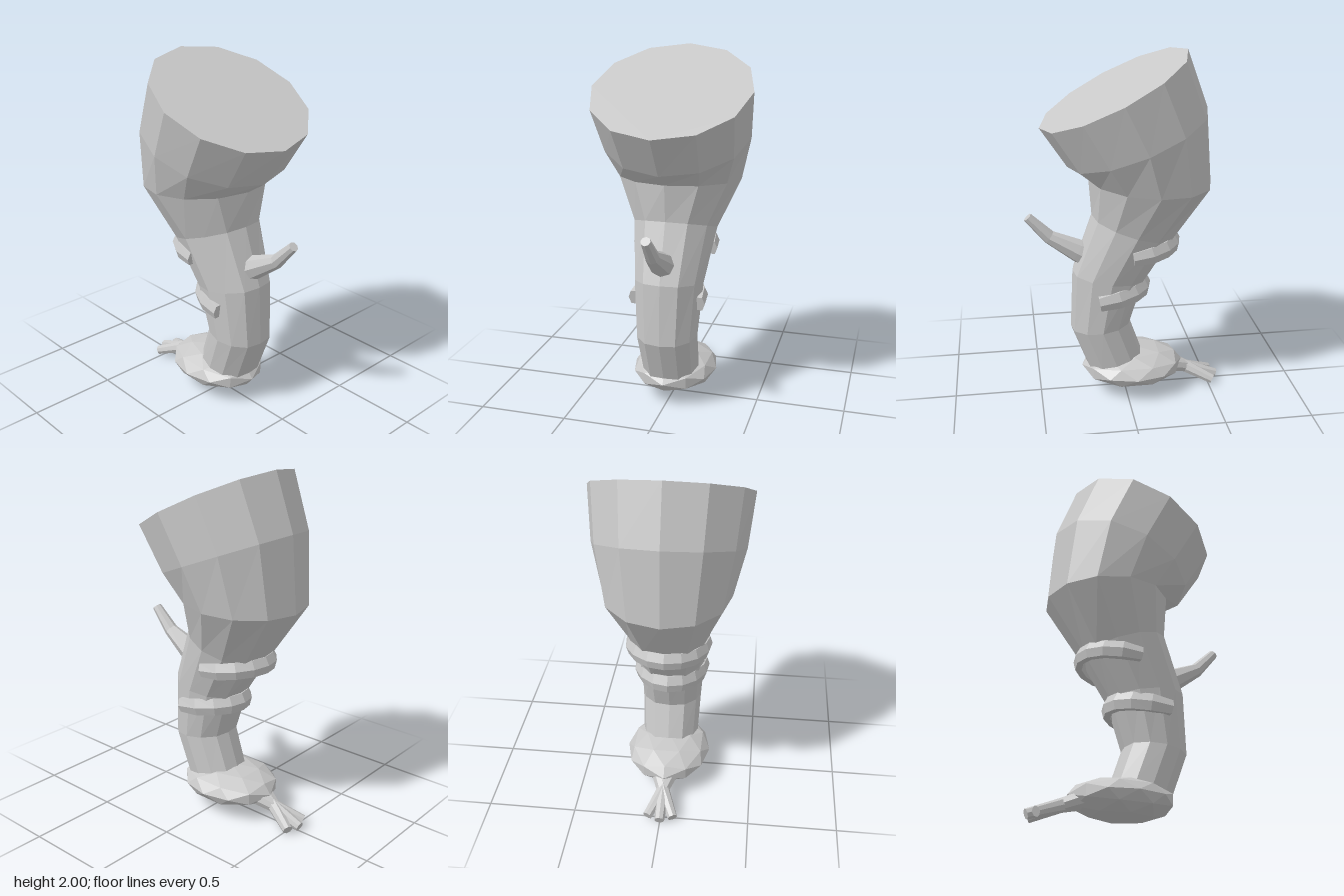
import * as THREE from 'three';

const V = (x, y, z) => new THREE.Vector3(x, y, z);

// Skin a list of closed rings (arrays of Vector3) and cap both ends.
function loft(rings) {
  const n = rings[0].length, pos = [];
  const tri = (...pts) => pts.forEach(p => pos.push(p.x, p.y, p.z));
  for (let k = 0; k < rings.length - 1; k++) {
    const a = rings[k], b = rings[k + 1];
    for (let i = 0; i < n; i++) {
      const j = (i + 1) % n;
      tri(a[i], a[j], b[j]);
      tri(a[i], b[j], b[i]);
    }
  }
  const first = rings[0], last = rings[rings.length - 1];
  for (let i = 1; i < n - 1; i++) {
    tri(first[0], first[i + 1], first[i]);
    tri(last[0], last[i], last[i + 1]);
  }
  const g = new THREE.BufferGeometry();
  g.setAttribute('position', new THREE.Float32BufferAttribute(pos, 3));
  g.computeVertexNormals();
  return g;
}

// Ring of n points around c, spanned by u and v; flat > 0 widens the facets at +u and -u.
function ring(c, u, v, n, flat = 0) {
  return Array.from({ length: n }, (_, i) => {
    const a = i / n * Math.PI * 2;
    const k = Math.abs(Math.cos(a)) > 0.99 ? 1 - flat : 1 + flat * Math.abs(Math.cos(a));
    return c.clone().addScaledVector(u, Math.cos(a) * k).addScaledVector(v, Math.sin(a));
  });
}

// Tapered tube through points lying in a plane that holds the y direction.
function limb(points, radii, n) {
  return loft(points.map((p, i) => {
    const t = points[Math.min(i + 1, points.length - 1)].clone()
      .sub(points[Math.max(i - 1, 0)]).normalize();
    const side = V(0, 1, 0).cross(t).normalize();
    const u = side.clone().cross(t);
    return ring(p, u.multiplyScalar(radii[i]), side.multiplyScalar(radii[i]), n);
  }));
}

// Raised band wrapping round the back of the stalk.
function band(width, depth, z0, y0, y1, thick, height) {
  const steps = 8, rings = [];
  for (let i = 0; i <= steps; i++) {
    const t = i / steps * Math.PI, s = Math.sin(t);
    const c = V(width * Math.cos(t), y0 + (y1 - y0) * s, z0 - depth * s);
    const inward = V(-Math.cos(t), 0, s).multiplyScalar(thick);
    const end = i === 0 || i === steps ? 0.8 : 1;
    rings.push(ring(c, inward.multiplyScalar(end), V(0, 0.98, 0.15).multiplyScalar(height * end), 6));
  }
  return loft(rings);
}

export function createModel() {
  const model = new THREE.Group();
  const grey = new THREE.MeshStandardMaterial({ color: 0xc8c8c8 });
  grey.name = 'grey';
  grey.flatShading = true;
  const add = (name, geometry) => {
    const m = new THREE.Mesh(geometry, grey);
    m.name = name;
    model.add(m);
    return m;
  };

  // Curved stalk: front z, front y, back z, back y, half width, flattening
  const sections = [
    [0.22, 0.15, -0.11, 0.21, 0.163, 0.03],
    [0.235, 0.19, -0.10, 0.25, 0.165, 0.03],
    [0.32, 0.42, -0.03, 0.45, 0.175, 0.03],
    [0.305, 0.77, -0.115, 0.71, 0.197, 0.03],
    [0.19, 1.10, -0.27, 0.95, 0.24, 0.02],
    [0.20, 1.305, -0.487, 1.265, 0.352, 0],
    [0.315, 1.38, -0.455, 1.685, 0.415, 0],
    [0.46, 1.60, -0.34, 2.0, 0.447, 0],
  ];
  add('stalk', loft(sections.map(([fz, fy, bz, by, w, flat]) =>
    ring(V(0, (fy + by) / 2, (fz + bz) / 2), V(0, (fy - by) / 2, (fz - bz) / 2), V(w, 0, 0), 12, flat))));

  // Faceted foot
  const foot = add('foot', new THREE.IcosahedronGeometry(1, 1));
  foot.scale.set(0.245, 0.106, 0.298);
  foot.position.set(0, 0.153, -0.045);

  // Three toes crossing behind the foot
  for (const s of [-1, 0, 1]) {
    add('toe', limb([
      V(-s * 0.05, 0.15, -0.22),
      V(s * 0.005, 0.09, -0.38),
      V(s * 0.072, 0.03, s ? -0.525 : -0.555),
    ], [0.05, 0.037, 0.028], 8));
  }

  // Bent prong on the front
  add('frontProng', limb([V(0, 0.85, 0.2), V(0, 0.89, 0.27), V(0, 0.978, 0.425), V(0, 1.1, 0.54)],
    [0.075, 0.066, 0.04, 0.027], 8));

  // Back bands
  add('upperBand', band(0.217, 0.262, -0.02, 0.905, 0.94, 0.035, 0.055));
  add('lowerBand', band(0.192, 0.28, 0.165, 0.635, 0.675, 0.036, 0.058));

  return model;
}
